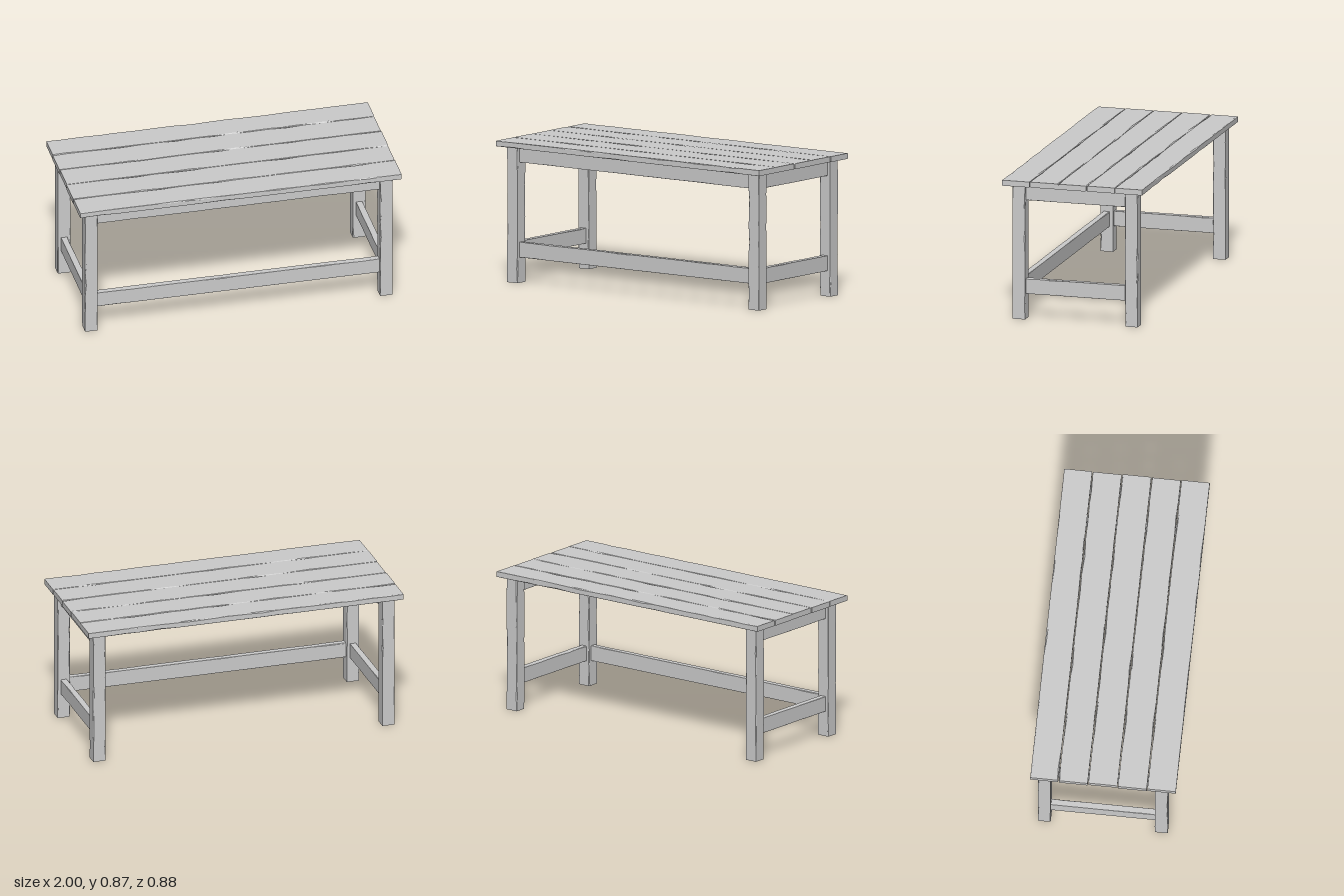
import * as THREE from 'three';

const material = new THREE.MeshStandardMaterial({ color: 0xcccccc, flatShading: true });

// Small seeded generator for the hand-hewn wear
function seeded(seed) {
  let s = seed * 7919 + 17;
  return () => {
    s = (s * 16807) % 2147483647;
    return s / 2147483647;
  };
}

// Rough timber filling the box min..max along one axis (0 x, 1 y, 2 z).
// Its cross-section is a rectangle whose four corners are worn by varying chamfers.
function timber(name, axis, min, max, stations, wear, seed) {
  const rand = seeded(seed);
  for (let i = 0; i < 5; i++) rand();
  const u = (axis + 1) % 3, v = (axis + 2) % 3;
  const rings = [];
  for (let i = 0; i <= stations; i++) {
    const isEnd = i === 0 || i === stations;
    const t = isEnd ? i / stations : (i + (rand() - 0.5) * 0.5) / stations;
    const c = [0, 1, 2, 3].map(() => {
      const chip = rand() < 0.3 ? 1 : 0.15;
      return [wear[0] * chip * (0.3 + 0.7 * rand()), wear[1] * chip * (0.3 + 0.7 * rand())];
    });
    const [u0, u1, v0, v1] = [min[u], max[u], min[v], max[v]];
    const section = [
      [u0 + c[0][0], v0], [u1 - c[1][0], v0], [u1, v0 + c[1][1]], [u1, v1 - c[2][1]],
      [u1 - c[2][0], v1], [u0 + c[3][0], v1], [u0, v1 - c[3][1]], [u0, v0 + c[0][1]],
    ];
    rings.push(section.map(([a, b]) => {
      const p = [0, 0, 0];
      p[axis] = min[axis] + (max[axis] - min[axis]) * t;
      p[u] = a;
      p[v] = b;
      return p;
    }));
  }
  const index = [];
  const n = 8;
  for (let i = 0; i < stations; i++) {
    for (let j = 0; j < n; j++) {
      const a = i * n + j, b = i * n + (j + 1) % n;
      index.push(a, b, b + n, a, b + n, a + n);
    }
  }
  // End caps
  const last = stations * n;
  for (let j = 1; j < n - 1; j++) {
    index.push(0, j + 1, j, last, last + j, last + j + 1);
  }
  const geometry = new THREE.BufferGeometry();
  geometry.setAttribute('position', new THREE.Float32BufferAttribute(rings.flat(2), 3));
  geometry.setIndex(index);
  const flat = geometry.toNonIndexed();
  flat.computeVertexNormals();
  const mesh = new THREE.Mesh(flat, material);
  mesh.name = name;
  return mesh;
}

export function createModel() {
  const table = new THREE.Group();
  table.name = 'table';

  // Table top: five planks with narrow gaps
  const top = new THREE.Group();
  top.name = 'tableTop';
  const planks = [[-0.442, -0.272], [-0.268, -0.093], [-0.089, 0.087], [0.091, 0.266], [0.27, 0.442]];
  planks.forEach(([z0, z1], i) => {
    const shift = [0, -0.002, 0.001, -0.002, 0][i];
    top.add(timber('plank', 0, [-0.998 + shift, 0.832, z0], [0.998 + shift, 0.866, z1],
      18, [0.007, 0.009], i + 1));
  });
  table.add(top);

  // Four square legs
  for (const [x0, x1] of [[-0.955, -0.877], [0.877, 0.955]]) {
    for (const [z0, z1] of [[0.31, 0.389], [-0.4, -0.322]]) {
      table.add(timber('leg', 1, [x0, 0, z0], [x1, 0.832, z1], 10, [0.008, 0.008],
        Math.round(40 + x0 * 9 + z0 * 30)));
    }
  }

  // Aprons under the top and low stretchers: both ends and the front, open at the back
  [['apron', 0.737, 0.831], ['stretcher', 0.156, 0.249]].forEach(([name, y0, y1], k) => {
    for (const side of [-1, 1]) {
      const x = side * 0.916;
      table.add(timber(name + 'End', 2, [x - 0.019, y0, -0.33], [x + 0.019, y1, 0.32],
        7, [0.005, 0.005], 70 + k * 5 + side));
    }
    table.add(timber(name + 'Front', 0, [-0.885, y0, 0.331], [0.885, y1, 0.369],
      14, [0.005, 0.005], 90 + k));
  });

  return table;
}
